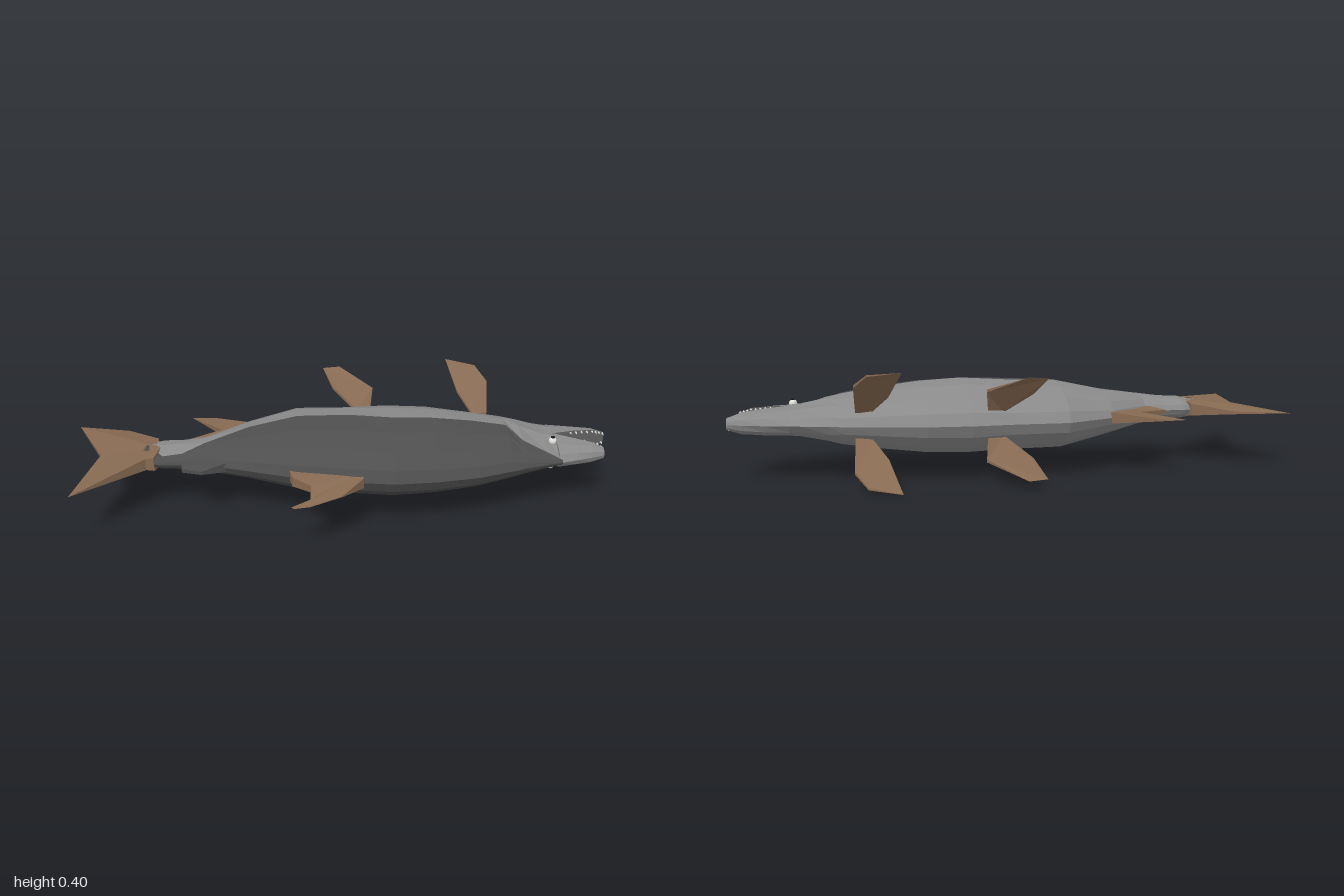
import * as THREE from 'three';

const MID = 0.2; // height of the fish's plane of symmetry
const mat = (name, color) => {
  const m = new THREE.MeshStandardMaterial({ color, side: THREE.DoubleSide });
  m.name = name;
  return m;
};

// Flat-shaded mesh from a list of triangle corners
function facets(name, tris, material) {
  const g = new THREE.BufferGeometry().setFromPoints(tris);
  g.computeVertexNormals();
  const mesh = new THREE.Mesh(g, material);
  mesh.name = name;
  return mesh;
}

// Joins closed rings along +x; pick(column) returns the list that gets each face
function loft(rings, pick) {
  const n = rings[0].length;
  for (let i = 0; i < rings.length - 1; i++)
    for (let j = 0; j < n; j++) {
      const k = (j + 1) % n, a = rings[i], b = rings[i + 1];
      pick(j).push(a[j], a[k], b[k], a[j], b[k], b[j]);
    }
  [rings[0], rings[rings.length - 1]].forEach((r, end) => {
    const c = r.reduce((s, p) => s.add(p), new THREE.Vector3()).divideScalar(n);
    for (let j = 0; j < n; j++) {
      const k = (j + 1) % n;
      pick(j).push(c, ...(end ? [r[j], r[k]] : [r[k], r[j]]));
    }
  });
}

// Tapered blade: outline points are [x, y, z, halfThickness]
function fin(name, pts, material) {
  const shape = pts.map(p => new THREE.Vector2(p[0], p[2]));
  const faces = THREE.ShapeUtils.triangulateShape(shape, []);
  const top = pts.map(([x, y, z, t]) => new THREE.Vector3(x, y + t, z));
  const low = pts.map(([x, y, z, t]) => new THREE.Vector3(x, y - t, z));
  const clockwise = THREE.ShapeUtils.isClockWise(shape);
  const tris = [];
  for (const [a, b, c] of faces) {
    const f = clockwise ? [a, b, c] : [a, c, b];
    tris.push(...f.map(i => top[i]), ...f.reverse().map(i => low[i]));
  }
  pts.forEach((_, i) => {
    const k = (i + 1) % pts.length;
    const quad = [top[i], low[i], low[k], top[i], low[k], top[k]];
    tris.push(...(clockwise ? quad : quad.reverse()));
  });
  return facets(name, tris, material);
}

export function createModel() {
  const fish = new THREE.Group();
  fish.name = 'fish';
  const bellyGrey = mat('bellyGrey', 0x8a8a8a);
  const backGrey = mat('backGrey', 0x4e4e4e);
  const finBrown = mat('finBrown', 0x876a52);
  const mouthGrey = mat('mouthGrey', 0x626262);
  const toothWhite = mat('toothWhite', 0xe4e4e0);
  const pupilBlack = mat('pupilBlack', 0x161616);

  // Body stations: x, belly z, back z, half thickness, z where the colours meet
  const stations = [
    [-0.755, -0.03, 0.03, 0.018, -0.02],
    [-0.71, -0.08, 0.06, 0.034, -0.03],
    [-0.65, -0.1, 0.07, 0.042, 0.05],
    [-0.58, -0.095, 0.072, 0.045, 0.045],
    [-0.5, -0.1, 0.08, 0.056, 0.01],
    [-0.34, -0.22, 0.13, 0.083, -0.06],
    [-0.16, -0.295, 0.19, 0.122, -0.065],
    [0.03, -0.29, 0.23, 0.128, -0.055],
    [0.18, -0.295, 0.25, 0.133, -0.015],
    [0.33, -0.285, 0.24, 0.126, -0.02],
    [0.48, -0.25, 0.215, 0.109, -0.025],
    [0.61, -0.222, 0.172, 0.088, -0.025],
    [0.66, -0.208, 0.153, 0.077, 0.06],
    [0.75, -0.182, 0.127, 0.055, 0.095],
    [0.8, -0.165, 0.115, 0.05, 0.111],
  ];
  const S = 4;
  const rings = stations.map(([x, z0, z1, h, zb]) => {
    const c = (z0 + z1) / 2, half = (z1 - z0) / 2, zs = [];
    for (let i = 0; i <= S; i++) zs.push(z0 + (zb - z0) * (1 - Math.cos(i / S * Math.PI / 2)));
    for (let i = 1; i <= S; i++) zs.push(zb + (z1 - zb) * Math.sin(i / S * Math.PI / 2));
    const side = zs.map(z => [z, h * Math.pow(Math.max(0, 1 - ((z - c) / half) ** 2), 0.6)]);
    const up = side.map(([z, w]) => new THREE.Vector3(x, MID + w, z));
    const down = side.slice(1, -1).reverse().map(([z, w]) => new THREE.Vector3(x, MID - w, z));
    return [...up, ...down];
  });
  const belly = [], back = [];
  loft(rings, j => (j < S || j >= 3 * S ? belly : back));
  fish.add(facets('bellyAndHead', belly, bellyGrey), facets('back', back, backGrey));

  // Jaws: half-round outside, flat inside; stations are x, inner z, outer z, half width
  const jaws = {
    lowerJaw: [[0.79, -0.025, -0.168, 0.05], [0.87, -0.05, -0.148, 0.046], [0.95, -0.07, -0.122, 0.038], [1, -0.08, -0.1, 0.02]],
    upperJaw: [[0.79, -0.025, 0.117, 0.05], [0.86, 0.008, 0.098, 0.045], [0.92, 0.028, 0.08, 0.038], [0.965, 0.04, 0.064, 0.022]],
  };
  for (const [name, list] of Object.entries(jaws)) {
    const dir = Math.sign(list[0][2] - list[0][1]), skin = [], inside = [];
    loft(list.map(([x, zi, zo, h]) => Array.from({ length: 7 }, (_, k) => {
      const a = k / 6 * Math.PI;
      return new THREE.Vector3(x, MID + dir * h * Math.cos(a), zi + (zo - zi) * Math.sin(a));
    })), j => (j === 6 ? inside : skin));
    fish.add(facets(name, skin, bellyGrey), facets(name + 'Lining', inside, mouthGrey));

    // Teeth along both rims
    for (let i = 0; i < 8; i++) {
      const t = 0.9 + i * 0.28, s = Math.min(2, Math.floor(t)), f = t - s;
      const [x, z, , h] = list[s].map((v, q) => THREE.MathUtils.lerp(v, list[s + 1][q], f));
      const len = i % 2 ? 0.024 : 0.017;
      for (const side of [-1, 1]) {
        const tooth = new THREE.Mesh(new THREE.ConeGeometry(0.005, len, 4), toothWhite);
        tooth.name = name + 'Tooth';
        tooth.rotation.x = -dir * Math.PI / 2;
        tooth.position.set(x, MID + side * h * 0.85, z - dir * len * 0.4);
        fish.add(tooth);
      }
    }
  }

  // Eyes
  for (const side of [-1, 1]) {
    const eye = new THREE.Mesh(new THREE.SphereGeometry(0.015, 8, 6), toothWhite);
    eye.name = 'eye';
    eye.position.set(0.775, MID + side * 0.049, 0.035);
    const pupil = new THREE.Mesh(new THREE.CylinderGeometry(0.007, 0.007, 0.006, 8), pupilBlack);
    pupil.name = 'pupil';
    pupil.position.set(0.775, MID + side * 0.063, 0.035);
    fish.add(eye, pupil);
  }

  // Fins on the centre line: x, z, half thickness
  const flat = pts => pts.map(([x, z, t]) => [x, MID, z, t]);
  fish.add(
    fin('upperTailLobe', flat([[-0.66, 0, 0.036], [-0.68, 0.065, 0.026], [-0.71, 0.065, 0.022],
      [-0.945, 0.29, 0], [-0.88, 0, 0.008]]), finBrown),
    fin('lowerTailLobe', flat([[-0.66, 0, 0.036], [-0.88, 0, 0.008], [-1, -0.255, 0],
      [-0.805, -0.205, 0.005], [-0.68, -0.1, 0.022]]), finBrown),
    fin('analFin', flat([[-0.575, -0.32, 0], [-0.485, -0.31, 0.003], [-0.33, -0.225, 0.02],
      [-0.34, -0.13, 0.025], [-0.48, -0.07, 0.025], [-0.57, -0.12, 0.006], [-0.45, -0.185, 0.012]]), finBrown),
    fin('dorsalFin', flat([[-0.19, 0.17, 0.02], [-0.18, 0.215, 0.018], [-0.115, 0.27, 0.013],
      [-0.12, 0.34, 0], [-0.185, 0.39, 0], [-0.175, 0.4, 0], [-0.12, 0.39, 0],
      [-0.01, 0.325, 0.002], [0.07, 0.235, 0.02], [0.06, 0.2, 0.022]]), finBrown),
    fin('adiposeFin', flat([[-0.58, 0.06, 0.012], [-0.575, 0.115, 0.008], [-0.505, 0.14, 0.006],
      [-0.42, 0.1, 0.018], [-0.44, 0.05, 0.03]]), backGrey),
  );

  // Paired fins, mirrored across the plane of symmetry: x, height off the plane, z, half thickness
  const paired = {
    pectoralFin: [[0.43, 0.2, -0.4, 0], [0.54, 0.187, -0.355, 0.003], [0.58, 0.145, -0.29, 0.005],
      [0.57, 0.05, -0.2, 0.006], [0.515, 0.05, -0.2, 0.006], [0.465, 0.11, -0.285, 0.005]],
    pelvicFin: [[-0.055, 0.17, -0.4, 0], [0.01, 0.175, -0.4, 0], [0.135, 0.12, -0.3, 0.005],
      [0.125, 0.055, -0.265, 0.006], [0.07, 0.045, -0.26, 0.006], [-0.02, 0.115, -0.33, 0.005]],
  };
  for (const [name, pts] of Object.entries(paired))
    for (const side of [-1, 1])
      fish.add(fin(name, pts.map(([x, y, z, t]) => [x, MID + side * y, z, t]), finBrown));

  return fish;
}
